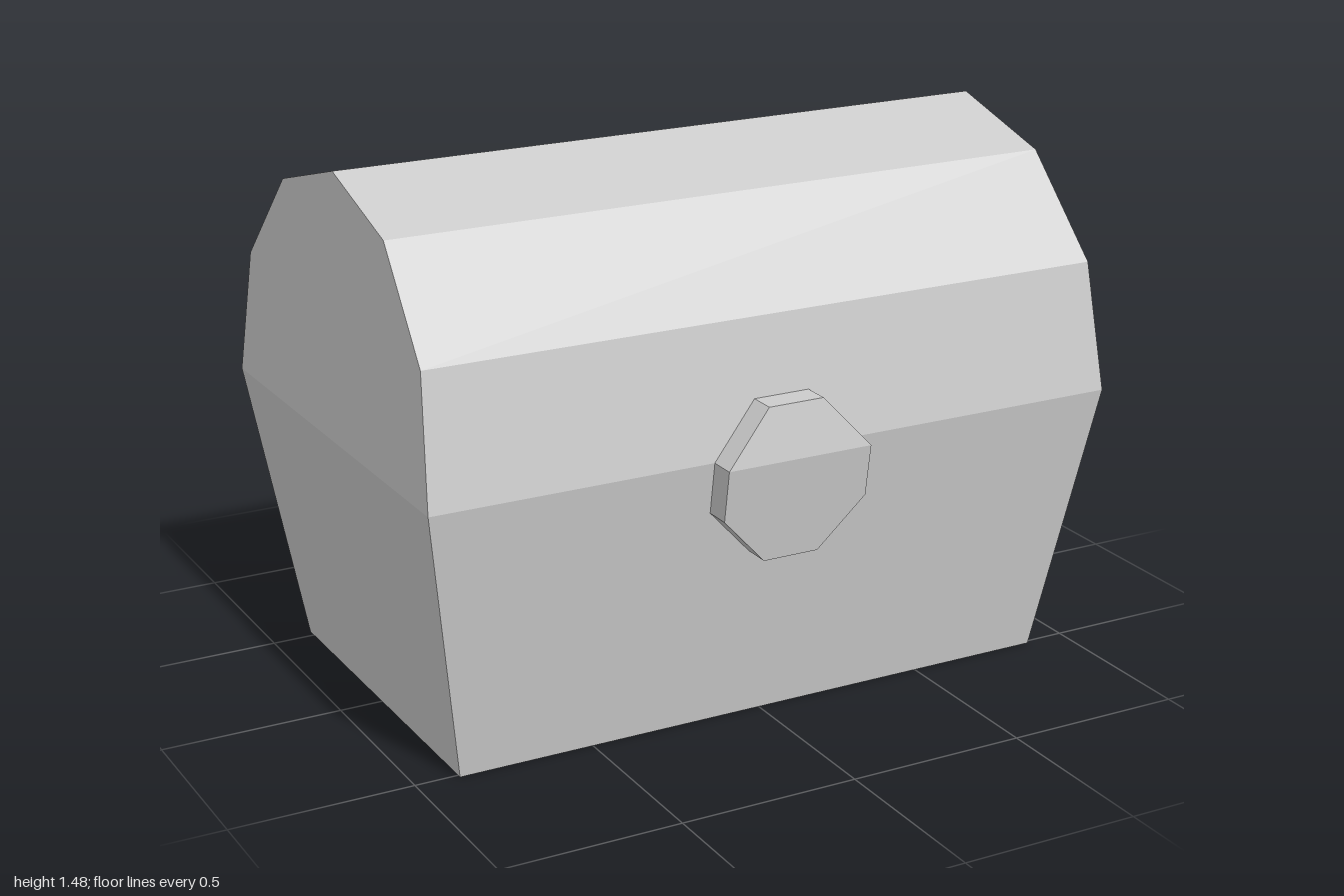
import * as THREE from 'three';

const RIM = 0.777, TOP = 1.484, HALF_RIM = 1.0;
const FRONT_RIM = 0.637, BACK_RIM = -0.653;
const grey = new THREE.MeshStandardMaterial({ color: 0xcccccc, flatShading: true });
const smoothGrey = new THREE.MeshStandardMaterial({ color: 0xcccccc });

// Half-length of the chest at height y: narrows from the rim to base and crown
const halfLength = (y) => (y < RIM
  ? THREE.MathUtils.mapLinear(y, 0, RIM, 0.88, HALF_RIM)
  : THREE.MathUtils.mapLinear(y, RIM, TOP, HALF_RIM, 0.96));

// Depth of the front wall at height y, on either side of the rim
const frontZ = (y) => (y < RIM
  ? THREE.MathUtils.mapLinear(y, 0, RIM, 0.512, FRONT_RIM)
  : THREE.MathUtils.mapLinear(y, RIM, 1.126, FRONT_RIM, 0.571));

const shapeOf = (pts) => new THREE.Shape(pts.map(([x, y]) => new THREE.Vector2(x, y)));

function addMesh(parent, name, geometry, material = grey) {
  const mesh = new THREE.Mesh(geometry, material);
  mesh.name = name;
  parent.add(mesh);
  return mesh;
}

// Solid from a side profile of [z, y] points, with its ends leaning by halfLength
function bodyGeometry(profile) {
  const geo = new THREE.ExtrudeGeometry(shapeOf(profile.map(([z, y]) => [-z, y])), { depth: 2, bevelEnabled: false });
  geo.translate(0, 0, -1).rotateY(Math.PI / 2);
  const p = geo.attributes.position;
  for (let i = 0; i < p.count; i++) p.setX(i, Math.sign(p.getX(i)) * halfLength(p.getY(i)));
  geo.computeVertexNormals();
  return geo;
}

// Plate from an [x, y] outline that follows the slope of the front wall
function plateGeometry(outline) {
  const geo = new THREE.ExtrudeGeometry(shapeOf(outline), { depth: 0.1, bevelEnabled: false });
  const p = geo.attributes.position;
  for (let i = 0; i < p.count; i++) p.setZ(i, p.getZ(i) - 0.025 + frontZ(p.getY(i)));
  geo.computeVertexNormals();
  return geo;
}

export function createModel() {
  const chest = new THREE.Group();
  chest.name = 'chest';

  // Tapered box and faceted barrel lid
  addMesh(chest, 'base', bodyGeometry([[0.512, 0], [FRONT_RIM, RIM], [BACK_RIM, RIM], [-0.527, 0]]));
  addMesh(chest, 'lid', bodyGeometry([
    [FRONT_RIM, RIM], [0.571, 1.126], [0.331, 1.387], [-0.006, TOP],
    [-0.35, 1.387], [-0.59, 1.126], [BACK_RIM, RIM],
  ]));

  // Octagonal lock, split where the lid meets the base
  const lock = new THREE.Group();
  lock.name = 'lock';
  addMesh(lock, 'lockUpper', plateGeometry([[-0.21, RIM], [0.21, RIM], [0.08, 0.92], [-0.08, 0.92]]));
  addMesh(lock, 'lockLower', plateGeometry([
    [-0.08, 0.495], [0.08, 0.495], [0.21, 0.633], [0.21, RIM], [-0.21, RIM], [-0.21, 0.633],
  ]));
  chest.add(lock);

  // Six-sided hinge pins along the back seam
  const pin = new THREE.CylinderGeometry(0.06, 0.06, 0.267, 6);
  pin.rotateZ(Math.PI / 2).rotateX(THREE.MathUtils.degToRad(21));
  [['hingeRight', -0.446], ['hingeLeft', 0.44]].forEach(([name, x]) => {
    addMesh(chest, name, pin, smoothGrey).position.set(x, 0.776, -0.651);
  });

  return chest;
}
